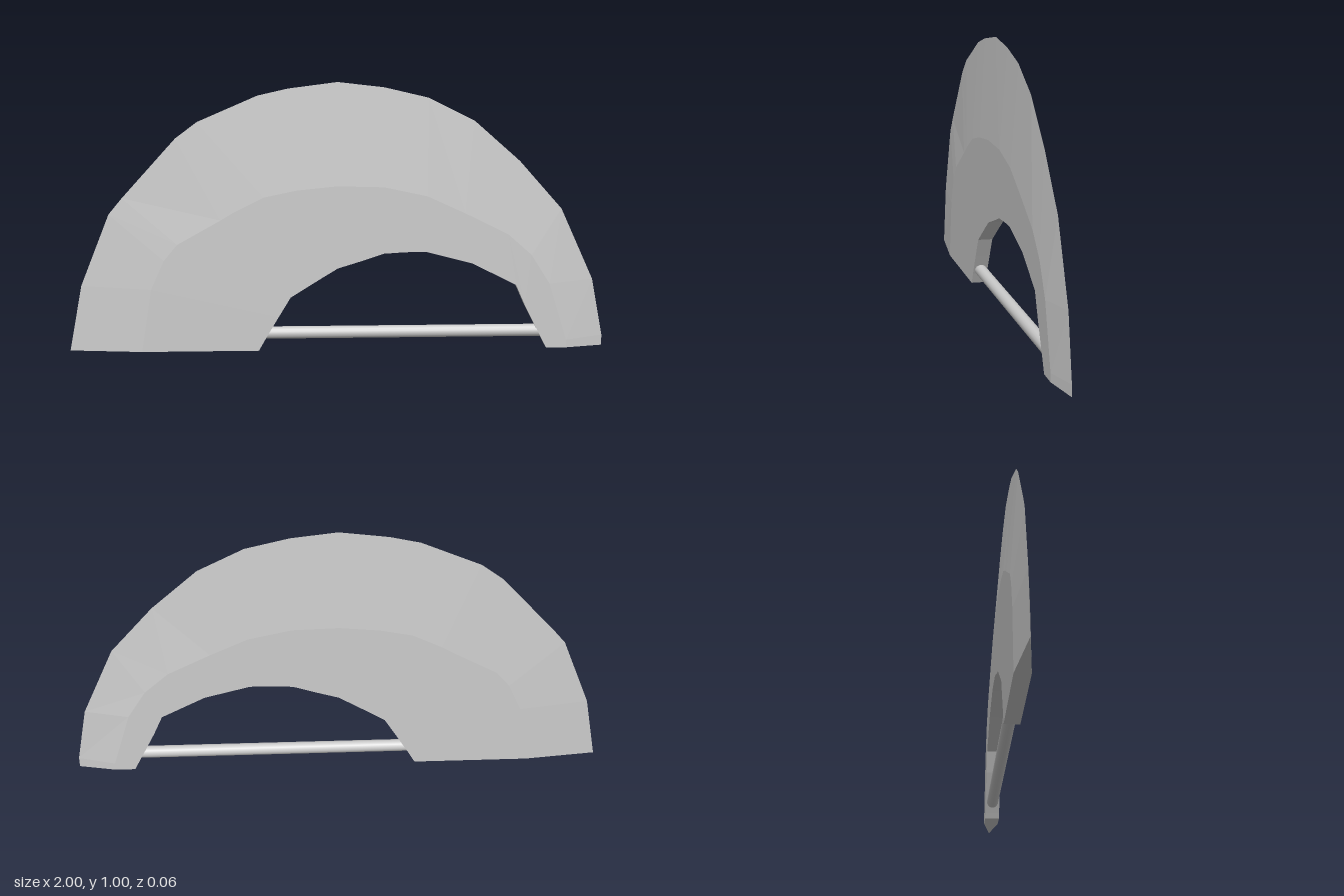
import * as THREE from 'three';

// Matching stations along the arch, as x, y pairs from the right end over the top
const OUTER = [-1, 0, -0.95, 0.25, -0.84, 0.52, -0.79, 0.58, -0.59, 0.8, -0.51, 0.86, -0.29, 0.955, -0.18, 0.98, 0, 1.003,
  0.17, 0.983, 0.33, 0.945, 0.5, 0.86, 0.67, 0.71, 0.83, 0.53, 0.955, 0.26, 1, 0.04, 1, 0];
const RIDGE = [-0.73, 0, -0.69, 0.24, -0.64, 0.35, -0.59, 0.41, -0.43, 0.5, -0.38, 0.53, -0.27, 0.585, -0.15, 0.61, 0, 0.625,
  0.17, 0.62, 0.33, 0.585, 0.47, 0.52, 0.63, 0.44, 0.72, 0.36, 0.79, 0.25, 0.86, 0.03, 0.86, 0];
const INNER = [-0.295, 0, -0.27, 0.045, -0.22, 0.13, -0.175, 0.205, -0.12, 0.24, -0.06, 0.278, 0, 0.315, 0.08, 0.34, 0.17, 0.37,
  0.25, 0.375, 0.33, 0.375, 0.5, 0.33, 0.665, 0.245, 0.7, 0.167, 0.74, 0.088, 0.775, 0.02, 0.785, 0];
const HALF = 0.028;

// Cross-section: sharp outer edge, bevel ridge and flat inner wall
function section(i) {
  const at = (line, z) => [line[2 * i], line[2 * i + 1], z];
  return [at(OUTER, 0), at(RIDGE, HALF), at(INNER, HALF), at(INNER, -HALF), at(RIDGE, -HALF)];
}

function bladeGeometry() {
  const count = OUTER.length / 2;
  const rings = Array.from({ length: count }, (_, i) => section(i));
  const positions = [];
  const tri = (a, b, c) => positions.push(...a, ...b, ...c);
  for (let i = 0; i < count - 1; i++) {
    for (let j = 0; j < 5; j++) {
      const k = (j + 1) % 5;
      const a = rings[i][j], b = rings[i][k], c = rings[i + 1][k], d = rings[i + 1][j];
      tri(a, b, c);
      tri(a, c, d);
    }
  }
  // Flat feet
  const first = rings[0], last = rings[count - 1];
  for (let j = 1; j < 4; j++) {
    tri(first[0], first[j + 1], first[j]);
    tri(last[0], last[j], last[j + 1]);
  }
  const geometry = new THREE.BufferGeometry();
  geometry.setAttribute('position', new THREE.Float32BufferAttribute(positions, 3));
  geometry.computeVertexNormals();
  return geometry;
}

export function createModel() {
  const group = new THREE.Group();
  group.name = 'crescentBlade';

  const blade = new THREE.Mesh(bladeGeometry(), new THREE.MeshStandardMaterial({ color: 0xcccccc, flatShading: true }));
  blade.name = 'blade';
  group.add(blade);

  // Grip bar across the opening, its ends sunk into the blade
  const bar = new THREE.Mesh(
    new THREE.CylinderGeometry(0.023, 0.023, 1.04, 16),
    new THREE.MeshStandardMaterial({ color: 0xcccccc })
  );
  bar.name = 'gripBar';
  bar.rotation.z = Math.PI / 2;
  bar.position.set(0.245, 0.062, 0);
  group.add(bar);

  return group;
}
